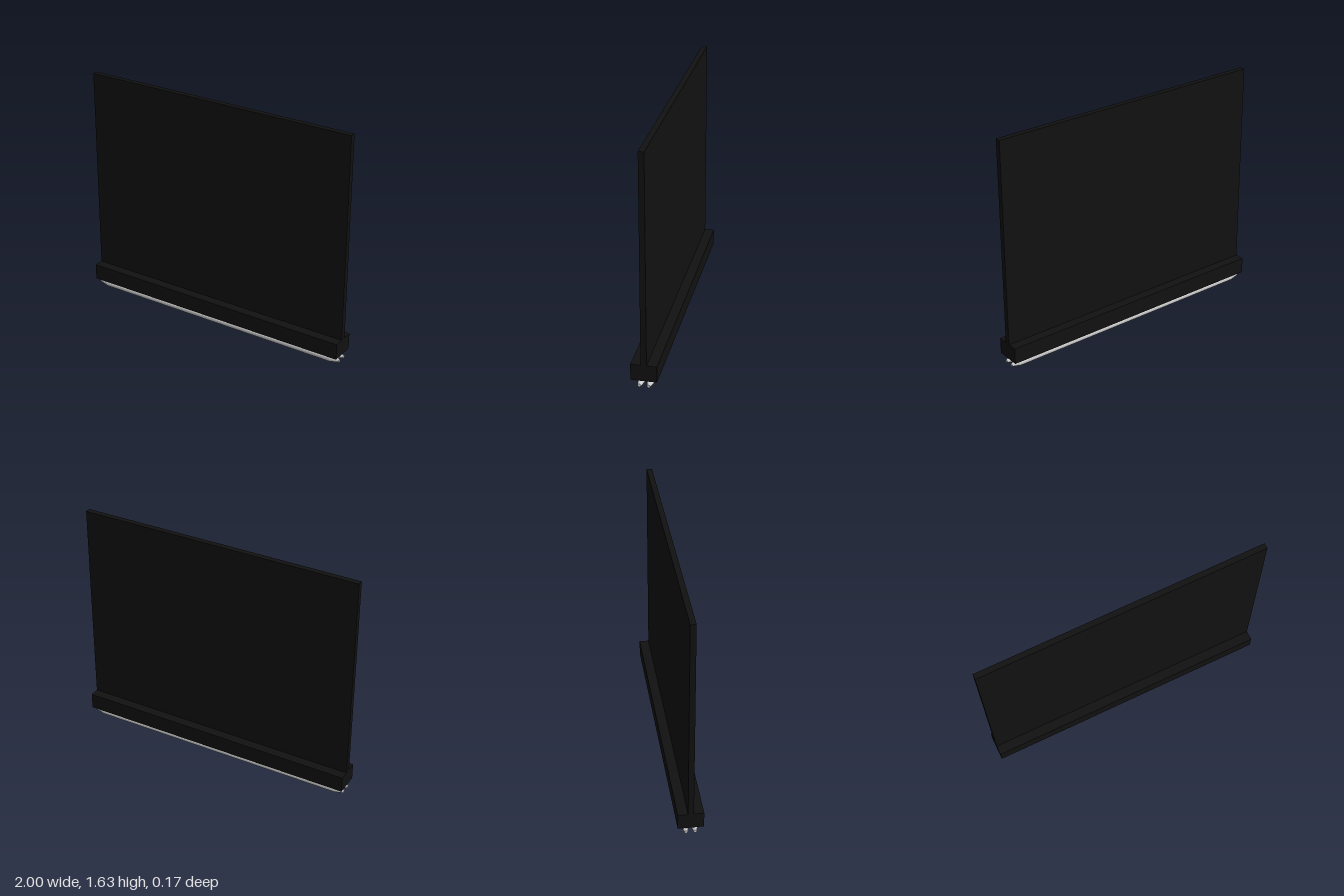
import * as THREE from 'three';

export function createModel() {
  const group = new THREE.Group();
  const black = new THREE.MeshStandardMaterial({ color: 0x111111 });
  const grey = new THREE.MeshStandardMaterial({ color: 0xcccccc });

  function box(name, width, depth, bottom, top) {
    const mesh = new THREE.Mesh(new THREE.BoxGeometry(width, top - bottom, depth), black);
    mesh.name = name;
    mesh.position.y = (bottom + top) / 2;
    group.add(mesh);
  }

  // Thin upright panel standing in a wider base bar
  box('panel', 2, 0.038, 0.17, 1.632);
  box('baseBar', 2, 0.172, 0.064, 0.178);

  // Tube with tapered, flat-tipped ends, each section closed separately to keep creases
  function addTube(name, z) {
    const tube = new THREE.Group();
    tube.name = name;
    const r = 0.025, tip = 0.011, shoulder = 0.93, end = 0.995;
    const body = new THREE.Mesh(new THREE.CylinderGeometry(r, r, shoulder * 2, 24, 1, true), grey);
    body.name = 'tubeBody';
    tube.add(body);
    for (const side of [1, -1]) {
      const cone = new THREE.Mesh(new THREE.CylinderGeometry(tip, r, end - shoulder, 24), grey);
      cone.name = 'tubeEnd';
      cone.position.y = side * (shoulder + end) / 2;
      if (side < 0) cone.rotation.x = Math.PI;
      tube.add(cone);
    }
    tube.rotation.z = -Math.PI / 2;
    tube.position.set(0, r, z);
    group.add(tube);
  }

  // Pair of tubes running along the underside
  addTube('frontTube', 0.03);
  addTube('backTube', -0.03);

  return group;
}
